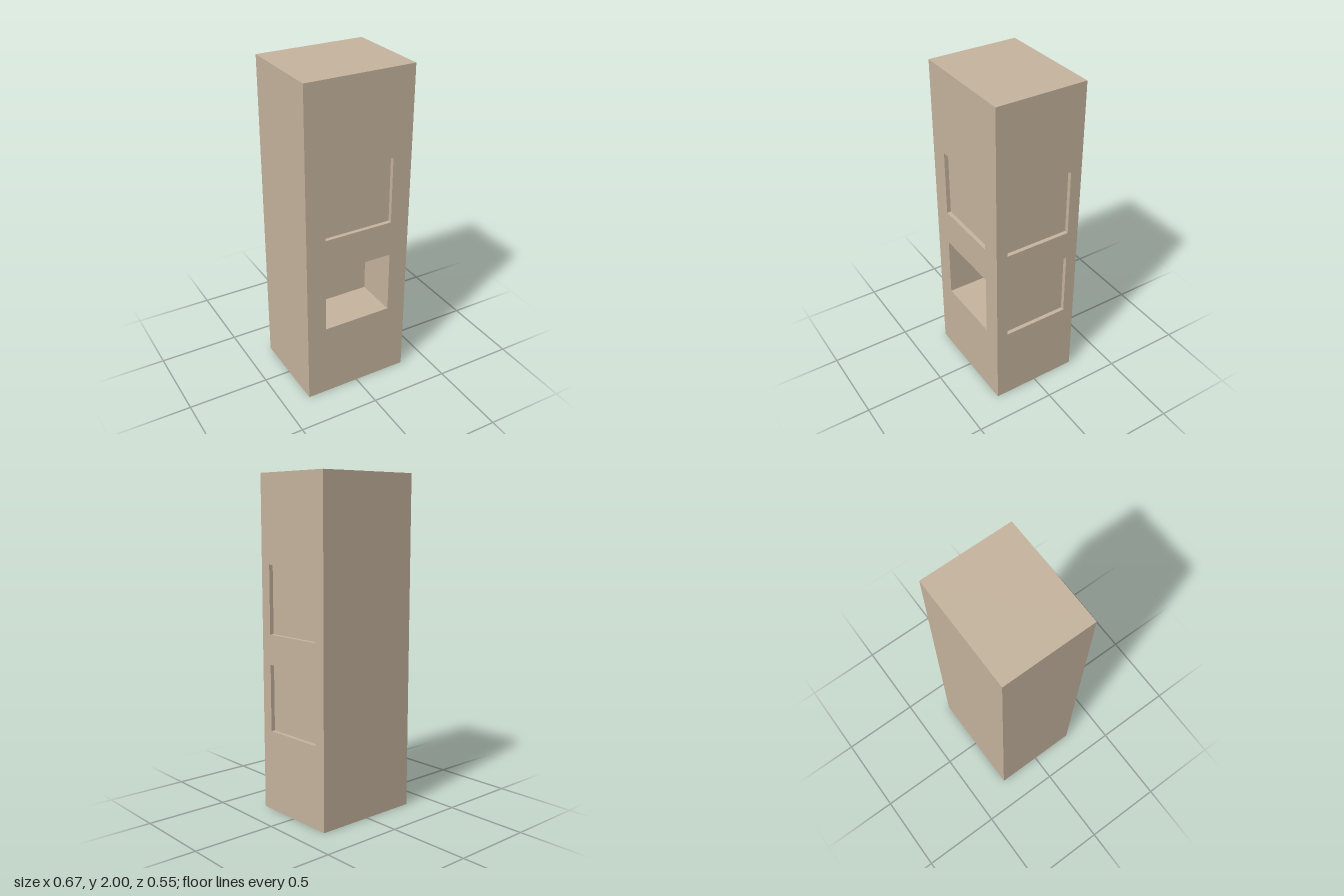
import * as THREE from 'three';
import { mergeGeometries } from 'three/addons/utils/BufferGeometryUtils.js';

const W = 0.67, H = 2, D = 0.55;

// Five inward-facing sides of a pocket sunk behind z = 0
function recessGeometry({ w, y0, y1, depth }) {
  const h = y1 - y0, y = (y0 + y1) / 2, z = -depth / 2, half = Math.PI / 2;
  return mergeGeometries([
    new THREE.PlaneGeometry(w, h).translate(0, y, -depth),
    new THREE.PlaneGeometry(depth, h).rotateY(half).translate(-w / 2, y, z),
    new THREE.PlaneGeometry(depth, h).rotateY(-half).translate(w / 2, y, z),
    new THREE.PlaneGeometry(w, depth).rotateX(-half).translate(0, y0, z),
    new THREE.PlaneGeometry(w, depth).rotateX(half).translate(0, y1, z),
  ]);
}

// Flat wall facing +z, pierced by its openings, with a pocket behind each
function makeWall(name, width, openings, material) {
  const wall = new THREE.Group();
  wall.name = name;
  const rect = (Type, w, y0, y1) => new Type([
    new THREE.Vector2(-w / 2, y0), new THREE.Vector2(w / 2, y0),
    new THREE.Vector2(w / 2, y1), new THREE.Vector2(-w / 2, y1),
  ]);
  const shape = rect(THREE.Shape, width, 0, H);
  for (const o of openings) shape.holes.push(rect(THREE.Path, o.w, o.y0, o.y1));
  const face = new THREE.Mesh(new THREE.ShapeGeometry(shape), material);
  face.name = name + 'Face';
  wall.add(face);
  for (const o of openings) {
    const recess = new THREE.Mesh(recessGeometry(o), material);
    recess.name = o.name;
    wall.add(recess);
  }
  return wall;
}

export function createModel() {
  const group = new THREE.Group();
  group.name = 'pillar';
  const stone = new THREE.MeshStandardMaterial({ color: 0xc4b39d });
  stone.name = 'beigeStone';

  // Front: shallow upper panel and deep lower niche
  const front = makeWall('frontWall', W, [
    { name: 'frontUpperPanel', w: 0.43, y0: 1.074, y1: 1.481, depth: 0.025 },
    { name: 'frontNiche', w: 0.43, y0: 0.47, y1: 0.857, depth: 0.27 },
  ], stone);
  front.position.z = D / 2;

  // Left (+x): two shallow panels
  const left = makeWall('leftWall', D, [
    { name: 'leftUpperPanel', w: 0.408, y0: 1.074, y1: 1.481, depth: 0.025 },
    { name: 'leftLowerPanel', w: 0.408, y0: 0.491, y1: 0.894, depth: 0.025 },
  ], stone);
  left.rotation.y = Math.PI / 2;
  left.position.x = W / 2;

  // Plain walls
  const back = makeWall('backWall', W, [], stone);
  back.rotation.y = Math.PI;
  back.position.z = -D / 2;
  const right = makeWall('rightWall', D, [], stone);
  right.rotation.y = -Math.PI / 2;
  right.position.x = -W / 2;
  group.add(front, left, back, right);

  // Top and base
  for (const [name, y, turn] of [['top', H, -1], ['base', 0, 1]]) {
    const cap = new THREE.Mesh(new THREE.PlaneGeometry(W, D), stone);
    cap.name = name;
    cap.rotation.x = turn * Math.PI / 2;
    cap.position.y = y;
    group.add(cap);
  }
  return group;
}
